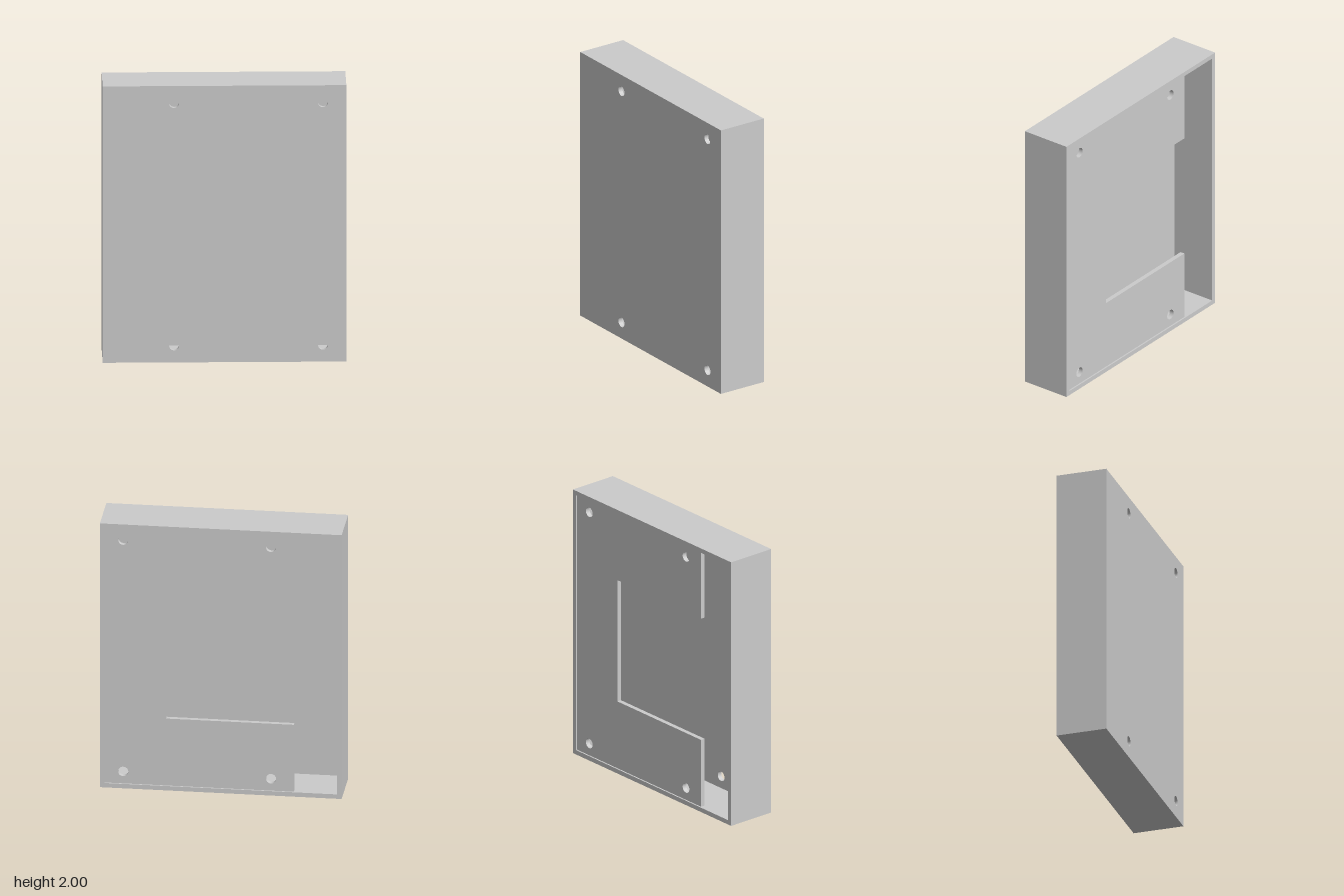
import * as THREE from 'three';

const W = 0.85, H = 2, D = 0.183;      // half width, height, half depth
const WALL = 0.033, RECESS = 0.011;
const HOLE_R = 0.036;

const material = new THREE.MeshStandardMaterial({ color: 0xcccccc });

function outline(points, Type = THREE.Shape) {
  return new Type(points.map(([x, y]) => new THREE.Vector2(x, y)));
}

function rectangle(x0, y0, x1, y1, Type) {
  return outline([[x0, y0], [x1, y0], [x1, y1], [x0, y1]], Type);
}

// four screw holes, off-centre towards the left side
function addScrewHoles(shape) {
  for (const x of [-0.352, 0.687]) {
    for (const y of [0.123, H - 0.123]) {
      const hole = new THREE.Path();
      hole.absarc(x, y, HOLE_R, 0, Math.PI * 2, true);
      shape.holes.push(hole);
    }
  }
}

function slab(name, shape, zBack, zFront) {
  const geometry = new THREE.ExtrudeGeometry(shape, {
    depth: zFront - zBack, bevelEnabled: false, curveSegments: 32,
  });
  geometry.translate(0, 0, zBack);
  const mesh = new THREE.Mesh(geometry, material);
  mesh.name = name;
  return mesh;
}

export function createModel() {
  const group = new THREE.Group();
  group.name = 'enclosure';

  // front panel closing the box
  const front = rectangle(-W, 0, W, H);
  addScrewHoles(front);
  group.add(slab('frontPanel', front, D - WALL, D));

  // four side walls, open at the back
  const walls = rectangle(-W, 0, W, H);
  walls.holes.push(rectangle(-W + WALL, WALL, W - WALL, H - WALL, THREE.Path));
  group.add(slab('sideWalls', walls, -D, D - WALL));

  // C-shaped plate set just inside the open back
  const edge = -0.513, notch = 0.386, low = 0.54, high = H - 0.54;
  const plate = outline([
    [edge, WALL], [W - WALL, WALL], [W - WALL, H - WALL], [edge, H - WALL],
    [edge, high], [notch, high], [notch, low], [edge, low],
  ]);
  addScrewHoles(plate);
  group.add(slab('backPlate', plate, -D + RECESS, -D + RECESS + WALL));

  return group;
}
